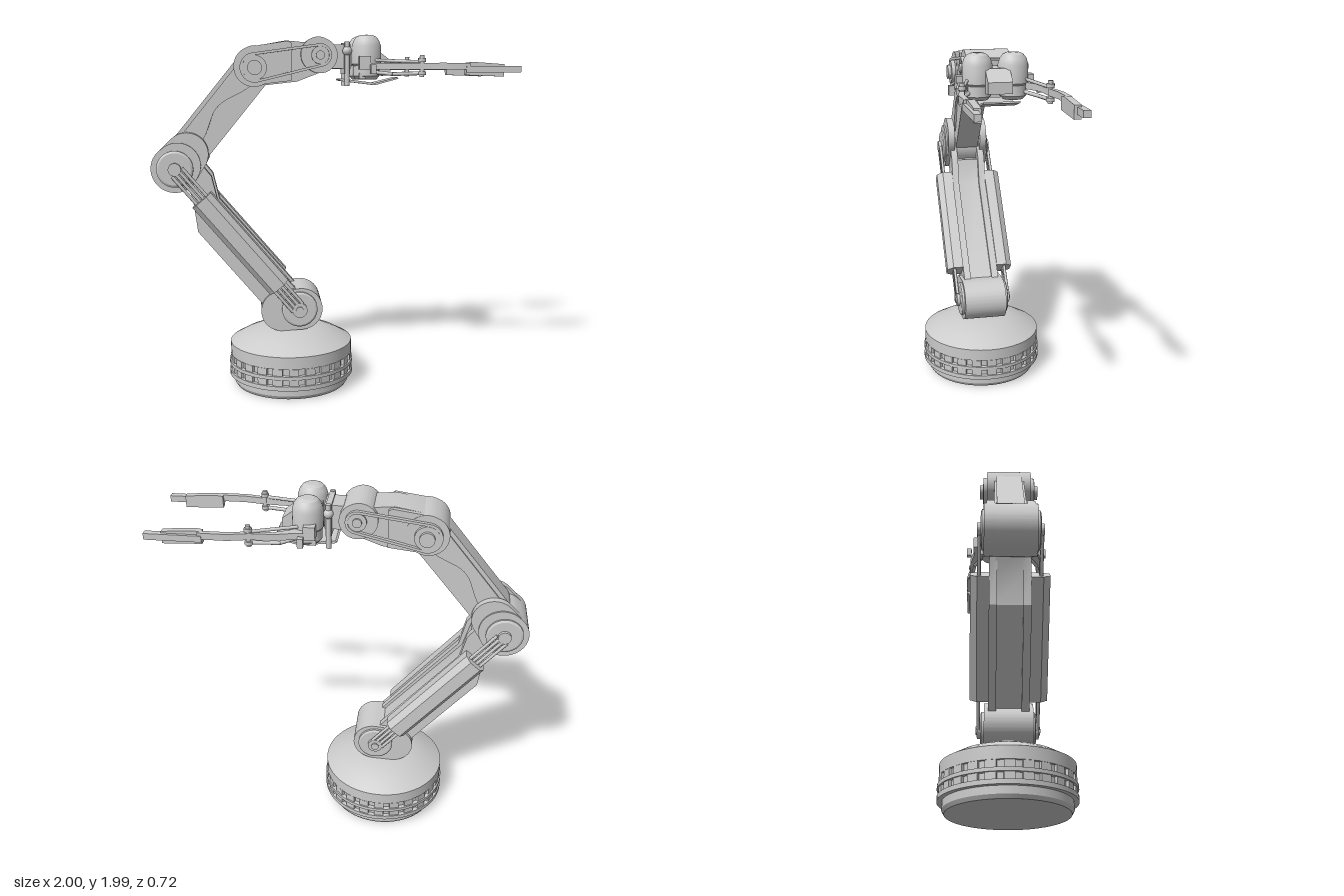
import * as THREE from 'three';
import { toCreasedNormals } from 'three/addons/utils/BufferGeometryUtils.js';

export function createModel() {
  const model = new THREE.Group();
  const mat = new THREE.MeshStandardMaterial({ color: 0xcccccc });
  const V = (x, y, z) => new THREE.Vector3(x, y, z);
  const sides = [1, -1];

  function add(name, geo, x = 0, y = 0, z = 0) {
    const mesh = new THREE.Mesh(geo, mat);
    mesh.name = name;
    mesh.position.set(x, y, z);
    model.add(mesh);
    return mesh;
  }
  const box = (name, w, h, d, x, y, z) => add(name, new THREE.BoxGeometry(w, h, d), x, y, z);
  const poly = (pts) => new THREE.Shape(pts.map((p) => new THREE.Vector2(p[0], p[1])));

  // Outline wrapped around two circles [x, y, r]
  function belt([x1, y1, r1], [x2, y2, r2]) {
    const a = Math.atan2(y2 - y1, x2 - x1);
    const b = Math.acos((r1 - r2) / Math.hypot(x2 - x1, y2 - y1));
    const s = new THREE.Shape();
    s.absarc(x2, y2, r2, a - b, a + b, false);
    s.absarc(x1, y1, r1, a + b, a - b + 2 * Math.PI, false);
    return s;
  }
  const extrude = (shape, depth) => toCreasedNormals(
    new THREE.ExtrudeGeometry(shape, { depth, bevelEnabled: false, curveSegments: 28 }), 0.5);
  // Side-profile plate between two z values
  const slab = (name, shape, z0, z1) => add(name, extrude(shape, z1 - z0), 0, 0, z0);
  // The same plate on both sides of the arm
  const pair = (name, shape, z0, z1) => sides.forEach((s) => slab(name, shape, s > 0 ? z0 : -z1, s > 0 ? z1 : -z0));
  // Plan-profile plate between two heights
  const plan = (name, shape, y0, y1) => add(name, extrude(shape, y1 - y0).rotateX(Math.PI / 2), 0, y1, 0);
  // Turned part from [radius, height] points
  function turned(name, pts, x, y, z, seg = 40) {
    const geo = new THREE.LatheGeometry(pts.map((p) => new THREE.Vector2(p[0], p[1])), seg);
    return add(name, toCreasedNormals(geo, 0.4), x, y, z);
  }
  function rod(name, a, b, r, seg = 10) {
    const d = b.clone().sub(a);
    const m = add(name, new THREE.CylinderGeometry(r, r, d.length(), seg));
    m.position.copy(a).addScaledVector(d, 0.5);
    m.quaternion.setFromUnitVectors(V(0, 1, 0), d.normalize());
    return m;
  }
  // Stepped round cap and pin on both ends of a pivot
  function caps(name, x, y, z, r, steps) {
    for (const s of sides) {
      const pts = [[0, 0], [r, 0]];
      for (const [k, h] of steps) pts.push([r * k, h]);
      pts.push([0, steps[steps.length - 1][1]]);
      turned(name, pts, x, y, s * z).rotation.x = s * Math.PI / 2;
    }
  }

  // Base: ringed drum with a conical top
  const bx = -0.24;
  turned('base', [
    [0, 0], [0.32, 0], [0.332, 0.02], [0.332, 0.06], [0.358, 0.06], [0.358, 0.085],
    [0.335, 0.085], [0.335, 0.122], [0.358, 0.122], [0.358, 0.142], [0.335, 0.142],
    [0.335, 0.182], [0.35, 0.182], [0.35, 0.25], [0.27, 0.295], [0.17, 0.333], [0, 0.333],
  ], bx, 0, 0, 64);
  for (const y of [0.104, 0.162]) {
    for (let i = 0; i < 24; i++) {
      const a = (i / 24) * Math.PI * 2;
      box('baseBlock', 0.055, 0.038, 0.03, bx + 0.335 * Math.sin(a), y, 0.335 * Math.cos(a)).rotation.y = a;
    }
  }

  // Shoulder
  const shoulder = V(-0.195, 0.46, 0), elbow = V(-0.87, 1.265, 0);
  slab('shoulderHousing', belt([-0.295, 0.45, 0.117], [-0.185, 0.458, 0.12]), -0.125, 0.125);
  caps('shoulderCap', shoulder.x, shoulder.y, 0.12, 0.1,
    [[1, 0.018], [0.9, 0.024], [0.42, 0.024], [0.42, 0.042], [0.22, 0.042], [0.22, 0.05]]);

  // Lower arm: central beam and raised edge rails
  const beam = poly([[-0.84, 1.24], [-0.78, 1.1], [-0.755, 0.91], [-0.33, 0.4], [-0.18, 0.53],
    [-0.64, 1.07], [-0.675, 1.22], [-0.73, 1.29]]);
  const core = poly([[-0.83, 1.2], [-0.765, 1.08], [-0.735, 0.92], [-0.33, 0.43], [-0.2, 0.53],
    [-0.66, 1.065], [-0.7, 1.21]]);
  slab('lowerArmCore', core, -0.075, 0.075);
  pair('lowerArmRail', beam, 0.065, 0.105);

  // Side shells and the thin rods joining them to the pivots
  const dir = shoulder.clone().sub(elbow).normalize();
  const across = V(-dir.y, dir.x, 0);
  const along = (t, u, z) => elbow.clone().addScaledVector(dir, t).addScaledVector(across, u).setZ(z);
  const shell = poly([[-0.065, 0.105], [0.065, 0.105], [0.065, 0.165], [0.035, 0.2], [-0.035, 0.2], [-0.065, 0.165]]);
  for (const s of sides) {
    const profile = poly(shell.getPoints().map((p) => [p.x, p.y * s]));
    const m = add('sideShell', extrude(profile, 0.65));
    m.quaternion.setFromRotationMatrix(
      new THREE.Matrix4().makeBasis(across, V(0, 0, 1), across.clone().cross(V(0, 0, 1))));
    m.position.copy(along(0.22, 0, 0));
    if (across.clone().cross(V(0, 0, 1)).dot(dir) < 0) m.position.copy(along(0.87, 0, 0));
    for (const u of [-0.036, -0.012, 0.012, 0.036]) {
      rod('tieRod', along(0.02, u, s * 0.155), along(1.03, u, s * 0.155), 0.009, 8);
    }
  }

  // Elbow: barrel with two cheeks that hold the upper arm
  slab('elbowBarrel', belt([-0.87, 1.265, 0.13], [-0.855, 1.283, 0.125]), -0.132, 0.132);
  pair('elbowCheek', belt([-0.87, 1.265, 0.13], [-0.805, 1.345, 0.117]), 0.08, 0.122);
  caps('elbowCap', elbow.x, elbow.y, 0.13, 0.1,
    [[1, 0.012], [0.88, 0.018], [0.35, 0.018], [0.35, 0.036], [0, 0.036]]);

  // Upper arm with curved side panels
  slab('upperArm', belt([-0.79, 1.37, 0.105], [-0.43, 1.81, 0.105]), -0.07, 0.07);
  const panel = new THREE.Shape();
  panel.moveTo(-0.84, 1.44);
  panel.lineTo(-0.53, 1.82);
  panel.lineTo(-0.42, 1.74);
  panel.bezierCurveTo(-0.52, 1.64, -0.61, 1.66, -0.66, 1.56);
  panel.bezierCurveTo(-0.7, 1.46, -0.7, 1.42, -0.76, 1.38);
  pair('upperArmPanel', panel, 0.068, 0.082);

  // Wrist: rear barrel, tapered forearm and front barrel
  slab('wristRearBarrel', belt([-0.435, 1.815, 0.108], [-0.425, 1.82, 0.108]), -0.122, 0.122);
  slab('forearm', poly([[-0.48, 1.9], [-0.4, 1.93], [-0.26, 1.955], [-0.15, 1.945], [-0.07, 1.96],
    [-0.03, 1.8], [-0.2, 1.735], [-0.38, 1.715]]), -0.095, 0.095);
  slab('forearmHood', poly([[-0.46, 1.91], [-0.4, 1.93], [-0.25, 1.952], [-0.23, 1.94], [-0.23, 1.74],
    [-0.4, 1.72]]), -0.12, 0.12);
  slab('wristFrontBarrel', belt([-0.085, 1.88, 0.095], [-0.075, 1.875, 0.095]), -0.122, 0.122);
  const strap = belt([-0.43, 1.81, 0.08], [-0.075, 1.877, 0.062]);
  strap.holes.push(new THREE.Path(belt([-0.43, 1.81, 0.066], [-0.075, 1.877, 0.048]).getPoints(24).reverse()));
  pair('driveBelt', strap, 0.12, 0.142);
  caps('rearPulley', -0.43, 1.81, 0.12, 0.066, [[1, 0.024], [0.6, 0.024], [0.6, 0.042], [0.4, 0.042]]);
  caps('frontPulley', -0.075, 1.877, 0.12, 0.048, [[1, 0.016], [0.5, 0.016], [0.5, 0.028]]);

  // Gripper mount
  box('gripperNeck', 0.1, 0.13, 0.14, 0.05, 1.87, 0);
  box('mountPlate', 0.03, 0.17, 0.2, 0.075, 1.86, 0);
  slab('gripperTray', poly([[0.03, 1.745], [0.04, 1.752], [0.23, 1.727], [0.355, 1.758], [0.36, 1.75],
    [0.23, 1.715], [0.04, 1.738]]), -0.095, 0.095);
  slab('gripperNose', poly([[0.12, 1.77], [0.12, 1.91], [0.24, 1.91], [0.32, 1.85], [0.32, 1.79]]), -0.065, 0.065);
  box('crossBar', 0.035, 0.03, 0.32, 0.15, 1.765, 0);

  for (const s of sides) {
    // Motor cans and mount pins
    turned('motorCan', [[0, 1.745], [0.055, 1.745], [0.072, 1.765], [0.072, 1.82], [0.08, 1.83], [0.08, 1.925],
      [0.07, 1.955], [0.055, 1.975], [0.035, 1.985], [0, 1.987]], 0.18, 0, s * 0.095, 32);
    rod('mountPin', V(0.075, 1.71, s * 0.095), V(0.075, 1.95, s * 0.095), 0.014);
    add('mountPinKnob', new THREE.SphereGeometry(0.026, 16, 12), 0.075, 1.9, s * 0.095);
    box('fingerRoot', 0.06, 0.07, 0.07, 0.16, 1.835, s * 0.172);

    // Finger: bent arm, straight bar and grip pad
    const flip = (pts) => poly(pts.map(([x, z]) => [x, z * s]));
    plan('fingerArm', flip([[0.15, 0.15], [0.24, 0.155], [0.34, 0.205], [0.47, 0.212], [0.58, 0.23], [0.72, 0.23],
      [0.72, 0.258], [0.57, 0.258], [0.46, 0.235], [0.33, 0.23], [0.23, 0.205], [0.15, 0.205]]), 1.8, 1.835);
    box('fingerBar', 0.3, 0.034, 0.036, 0.85, 1.802, s * 0.243);
    slab('gripPad', poly([[0.7, 1.77], [0.7, 1.835], [0.74, 1.84], [0.91, 1.828], [0.91, 1.762]]),
      s > 0 ? 0.21 : -0.245, s > 0 ? 0.245 : -0.21);

    // Lower link and hinge pin
    rod('fingerLink', V(0.18, 1.79, s * 0.12), V(0.31, 1.775, s * 0.2), 0.01);
    rod('fingerLink', V(0.31, 1.775, s * 0.2), V(0.47, 1.78, s * 0.222), 0.01);
    rod('fingerBrace', V(0.2, 1.85, s * 0.15), V(0.46, 1.84, s * 0.222), 0.009);
    rod('hingePin', V(0.465, 1.76, s * 0.222), V(0.465, 1.875, s * 0.222), 0.013);
    for (const y of [1.78, 1.85]) rod('hingeCollar', V(0.465, y - 0.01, s * 0.222), V(0.465, y + 0.01, s * 0.222), 0.021);
    box('hingeBlock', 0.03, 0.05, 0.03, 0.2, 1.8, s * 0.235);
  }
  return model;
}
